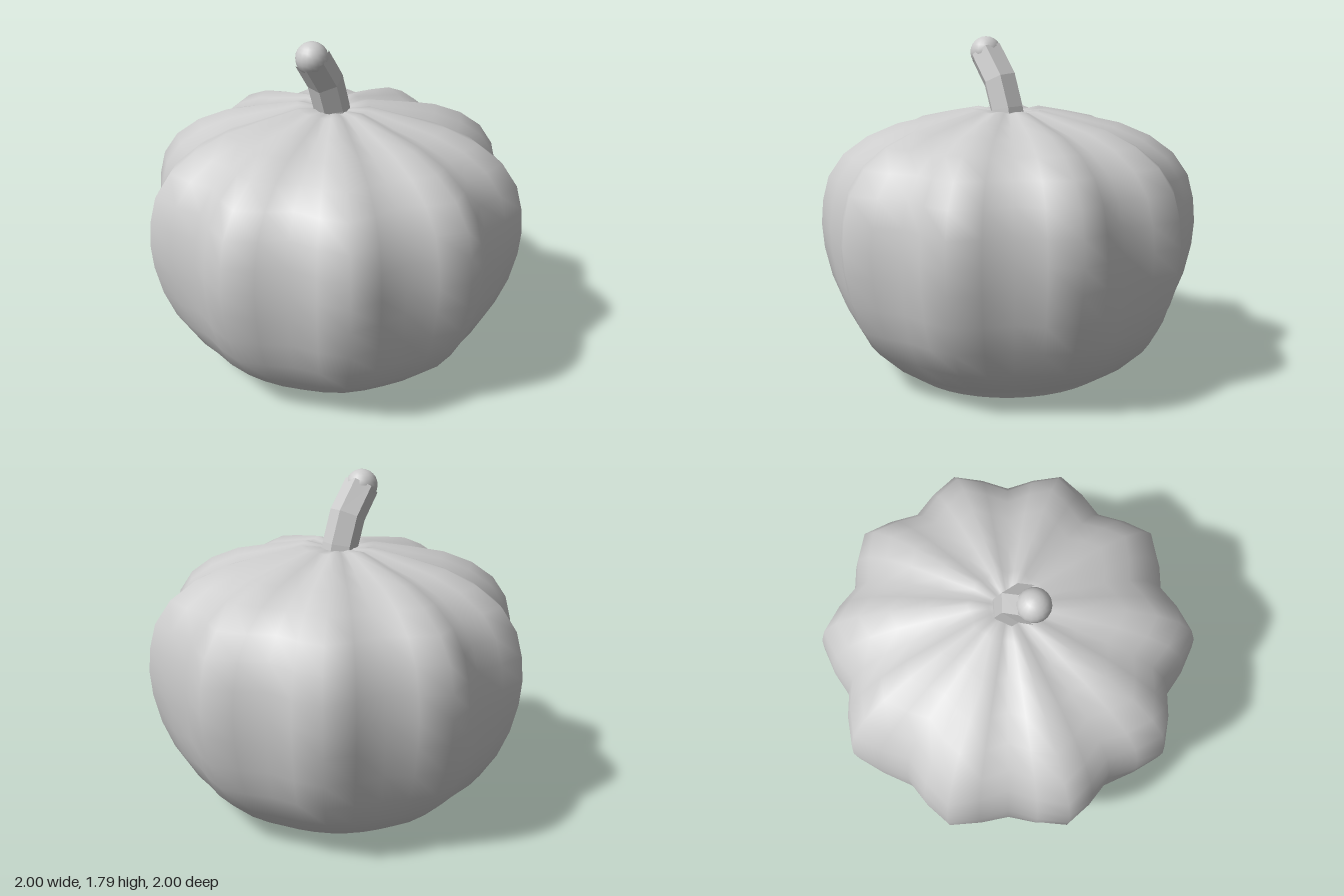
import * as THREE from 'three';
import { mergeVertices } from 'three/addons/utils/BufferGeometryUtils.js';

const LOBES = 10;
const LOBE_TURN = Math.PI / 20;

// Rings from base to crown: radius at the ridge, height, groove depth (share of radius), groove drop
const RINGS = [
  [0, 0.01, 0, 0], [0.55, 0.012, 0, 0],
  [0.69, 0.105, 0.015, 0], [0.82, 0.225, 0.035, 0], [0.905, 0.36, 0.06, 0],
  [0.965, 0.51, 0.085, 0], [1.002, 0.67, 0.105, 0], [1.013, 0.8, 0.112, 0],
  [1.002, 0.93, 0.118, 0], [0.968, 1.06, 0.125, 0], [0.885, 1.18, 0.13, 0.008],
  [0.755, 1.275, 0.13, 0.02], [0.59, 1.345, 0.12, 0.03], [0.4, 1.386, 0.11, 0.028],
  [0.2, 1.424, 0.1, 0.015], [0.1, 1.412, 0.08, 0.008], [0, 1.375, 0, 0],
];

// Ribbed body: a lathe with its rings pulled in between the lobes
function bodyGeometry() {
  const profile = RINGS.map(([r, y]) => new THREE.Vector2(r, y));
  let geo = new THREE.LatheGeometry(profile, LOBES * 4);
  const p = geo.attributes.position;
  for (let i = 0; i < p.count; i++) {
    const [, y, depth, drop] = RINGS[i % RINGS.length];
    const x = p.getX(i), z = p.getZ(i);
    const groove = 0.5 - 0.5 * Math.cos(LOBES * (Math.atan2(-z, x) - LOBE_TURN));
    const s = 1 - depth * groove;
    // the base is very slightly tilted
    const tilt = y < 0.1 ? 0.008 * (x - z) : 0;
    p.setXYZ(i, x * s, y - drop * groove + tilt, z * s);
  }
  geo.deleteAttribute('uv');
  geo.deleteAttribute('normal');
  geo = mergeVertices(geo, 1e-4);
  geo.computeVertexNormals();

  // soften the rim of the base so that it rolls into the wall
  const q = geo.attributes.position;
  const n = new THREE.Vector3();
  for (let i = 0; i < q.count; i++) {
    if (q.getY(i) > 0.05) continue;
    n.set(q.getX(i), -0.5, q.getZ(i)).normalize();
    geo.attributes.normal.setXYZ(i, n.x, n.y, n.z);
  }
  return geo;
}

// Stem sections from tip to root: centre x, y, z, radius, lean in radians
const STEM = [
  [-0.135, 1.712, 0.1, 0.092, 0.6],
  [-0.055, 1.57, 0.04, 0.094, 0.45],
  [-0.015, 1.42, 0.01, 0.094, 0.2],
  [0, 1.33, 0, 0.096, 0.1],
];
const LEAN_AXIS = new THREE.Vector3(0.59, 0, 0.81).normalize();

// Six-sided tube with hard edges, each section tilted along the bend
function stemGeometry() {
  const sides = 6;
  const geo = new THREE.CylinderGeometry(1, 1, 0, sides, STEM.length - 1, true, THREE.MathUtils.degToRad(25));
  const p = geo.attributes.position;
  const v = new THREE.Vector3();
  for (let i = 0; i < p.count; i++) {
    const [x, y, z, r, lean] = STEM[Math.floor(i / (sides + 1))];
    v.set(p.getX(i), 0, p.getZ(i)).multiplyScalar(r).applyAxisAngle(LEAN_AXIS, lean);
    p.setXYZ(i, x + v.x, y + v.y, z + v.z);
  }
  const flat = geo.toNonIndexed();
  flat.computeVertexNormals();
  return flat;
}

export function createModel() {
  const model = new THREE.Group();
  const grey = new THREE.MeshStandardMaterial({ color: 0xcccccc });
  grey.name = 'pale grey';

  const add = (name, geo) => {
    const mesh = new THREE.Mesh(geo, grey);
    mesh.name = name;
    model.add(mesh);
    return mesh;
  };

  add('body', bodyGeometry());
  add('stem', stemGeometry());

  // Rounded end of the stem
  const [x, y, z] = STEM[0];
  add('stemTip', new THREE.SphereGeometry(0.084, 18, 12)).position.set(x, y, z);

  return model;
}
